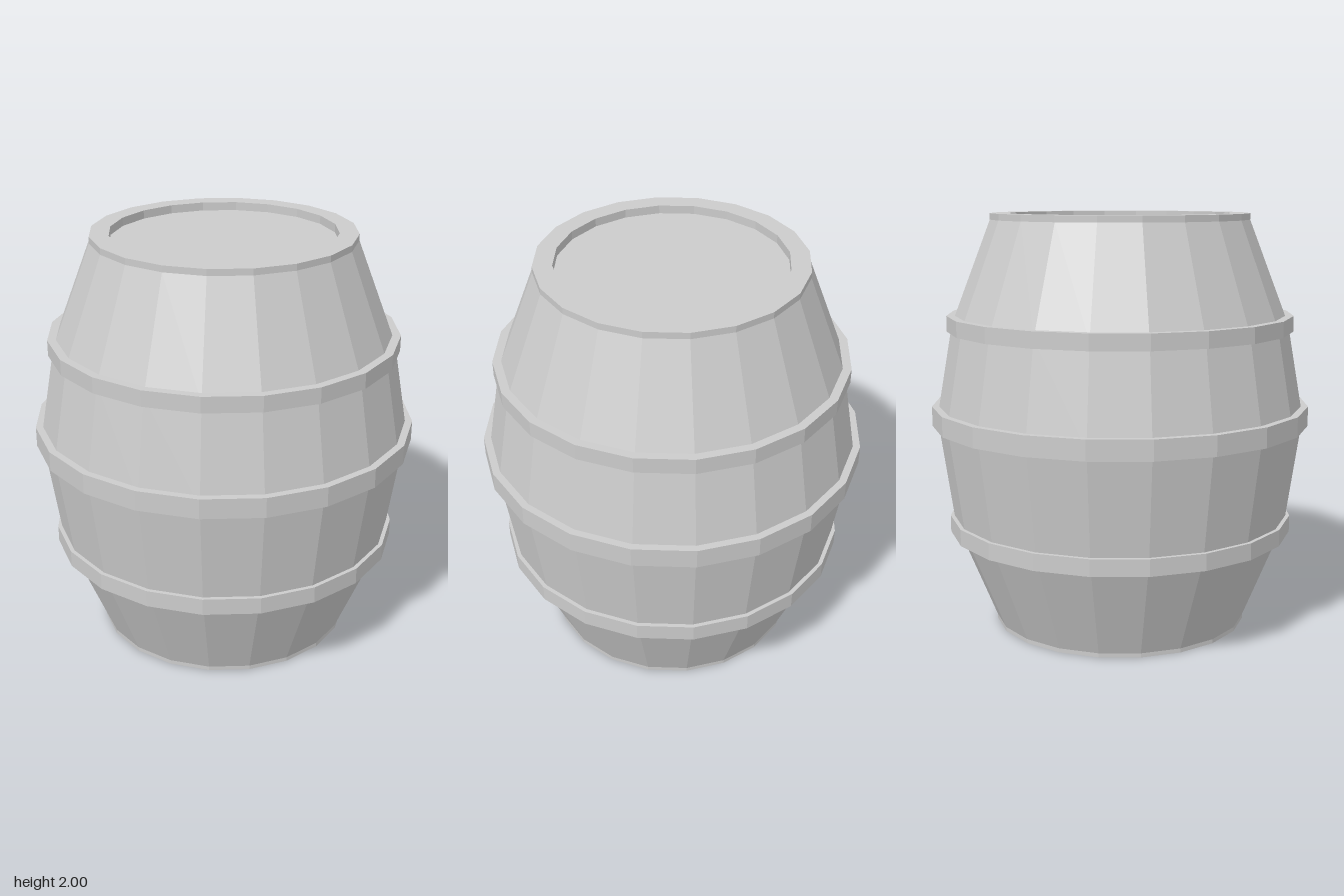
import * as THREE from 'three';

const SIDES = 20;

export function createModel() {
  const group = new THREE.Group();
  const material = new THREE.MeshStandardMaterial({ color: 0xcccccc, flatShading: true });

  // Turns a profile of [radius, height] pairs, listed bottom to top on the outside
  const turn = (name, profile) => {
    const points = profile.map(([r, y]) => new THREE.Vector2(r, y));
    const mesh = new THREE.Mesh(new THREE.LatheGeometry(points, SIDES), material);
    mesh.name = name;
    group.add(mesh);
  };

  // Bulging staves with a short straight lip at both ends
  turn('staves', [
    [0.53, 0.03], [0.53, 0], [0.62, 0], [0.62, 0.02],
    [0.815, 0.5], [0.89, 1.03], [0.81, 1.48],
    [0.62, 1.97], [0.62, 2], [0.53, 2], [0.53, 1.96],
  ]);

  // Recessed round heads
  turn('bottomHead', [[0, 0.03], [0.53, 0.03]]);
  turn('topHead', [[0.53, 1.96], [0, 1.96]]);

  // Hoops: name, radius, bottom, top
  const hoops = [
    ['lowerHoop', 0.84, 0.46, 0.54],
    ['middleHoop', 0.915, 0.99, 1.085],
    ['upperHoop', 0.835, 1.445, 1.52],
  ];
  for (const [name, r, y0, y1] of hoops) {
    const inner = r - 0.06;
    turn(name, [[inner, y0], [r, y0], [r, y1], [inner, y1], [inner, y0]]);
  }

  return group;
}
